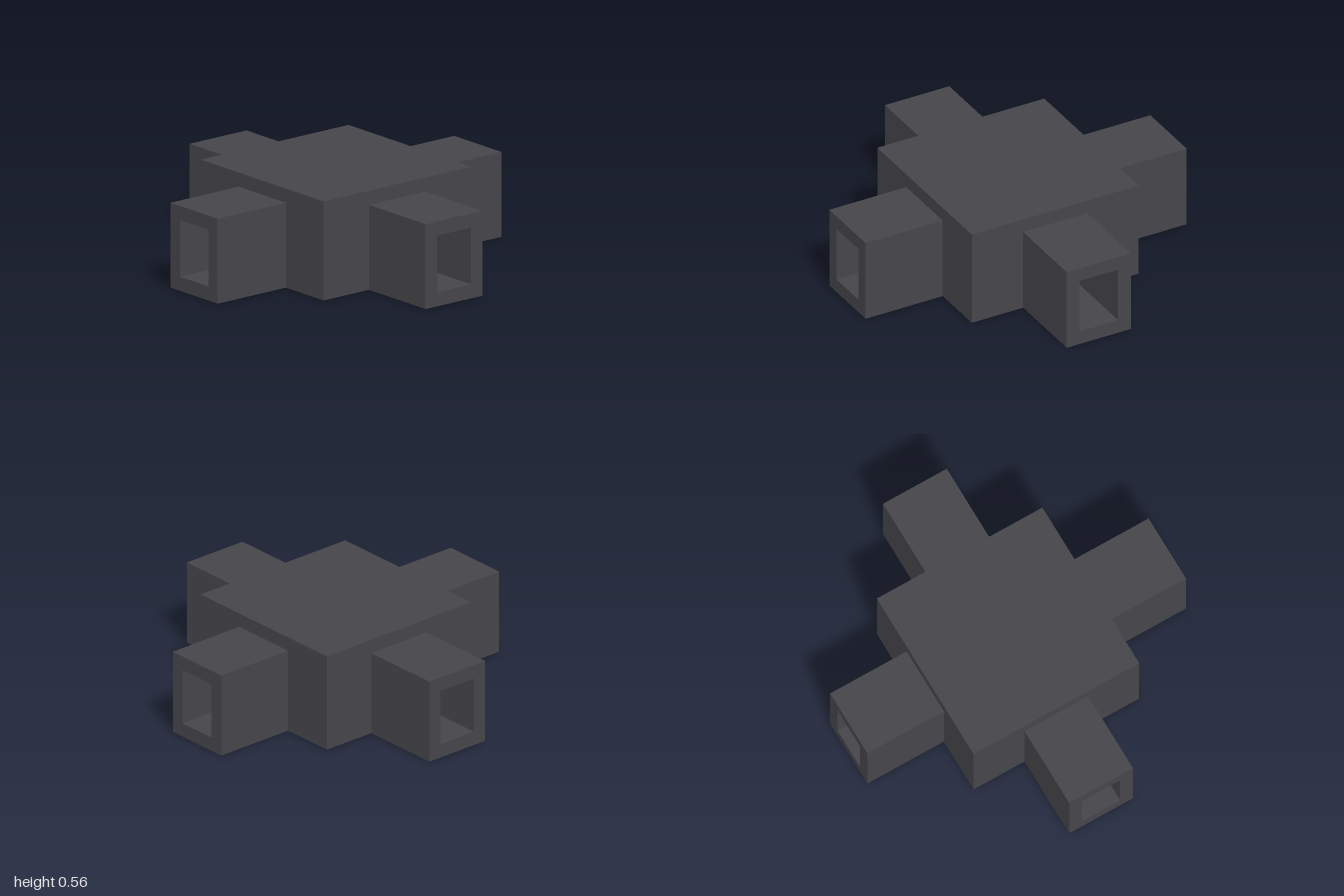
import * as THREE from 'three';

export function createModel() {
  const model = new THREE.Group();
  const hull = new THREE.MeshStandardMaterial({ color: 0x46454a });
  hull.name = 'charcoal';
  const gold = new THREE.MeshStandardMaterial({ color: 0xaa8e30 });
  gold.name = 'gold';

  const add = (parent, name, geometry, material, x = 0, y = 0, z = 0) => {
    const mesh = new THREE.Mesh(geometry, material);
    mesh.name = name;
    mesh.position.set(x, y, z);
    parent.add(mesh);
    return mesh;
  };
  const box = (parent, name, w, h, d, y) =>
    add(parent, name, new THREE.BoxGeometry(w, h, d), hull, 0, y + h / 2, 0);
  const points = (list) => list.map(([x, y]) => new THREE.Vector2(x, y));
  const extrude = (shape, depth) => new THREE.ExtrudeGeometry(shape, { depth, bevelEnabled: false });

  // Hollow central hub: floor and roof slabs
  const HUB = 0.52, WALL = 0.08;
  box(model, 'hubFloor', HUB * 2, WALL, HUB * 2, 0);
  box(model, 'hubRoof', HUB * 2, WALL, HUB * 2, 0.48);

  // Square tube cross-section of each corridor arm
  const tube = new THREE.Shape(points([[-0.2, 0], [0.2, 0], [0.2, 0.48], [-0.2, 0.48]]));
  tube.holes.push(new THREE.Path(points([[-0.12, 0.08], [-0.12, 0.4], [0.12, 0.4], [0.12, 0.08]])));
  const tubeGeometry = extrude(tube, 1 - HUB);

  // Four sides, each a hub wall with a doorway and an open corridor arm
  ['front', 'left', 'back', 'right'].forEach((side, i) => {
    const group = new THREE.Group();
    group.name = side + 'Side';
    group.rotation.y = i * Math.PI / 2;
    const w = i % 2 ? HUB - WALL : HUB;
    const wall = new THREE.Shape(points([
      [-w, 0.08], [-0.12, 0.08], [-0.12, 0.4], [0.12, 0.4],
      [0.12, 0.08], [w, 0.08], [w, 0.48], [-w, 0.48],
    ]));
    add(group, side + 'Wall', extrude(wall, WALL), hull, 0, 0, HUB - WALL);
    add(group, side + 'Corridor', tubeGeometry, hull, 0, 0, HUB);
    model.add(group);
  });

  // Small cross-shaped pedestal with a post inside the hub
  const pedestal = new THREE.Group();
  pedestal.name = 'pedestal';
  box(pedestal, 'pedestalPost', 0.08, 0.16, 0.08, 0.08);
  for (let i = 0; i < 4; i++) {
    const a = i * Math.PI / 2;
    add(pedestal, 'pedestalFoot', new THREE.BoxGeometry(0.08, 0.08, 0.08), hull,
      Math.round(Math.sin(a)) * 0.08, 0.12, Math.round(Math.cos(a)) * 0.08);
  }
  model.add(pedestal);

  // Ten gold discs evenly spaced round a square on the underside
  const R = 0.416, COUNT = 10;
  const disc = new THREE.CylinderGeometry(0.04, 0.04, 0.004, 8);
  for (let i = 0; i < COUNT; i++) {
    const t = i * 4 / COUNT, edge = Math.floor(t), along = R - (t - edge) * 2 * R;
    const [x, z] = [[along, -R], [-R, -along], [-along, R], [R, along]][edge];
    add(model, 'undersideDisc', disc, gold, x, 0, z);
  }
  return model;
}
